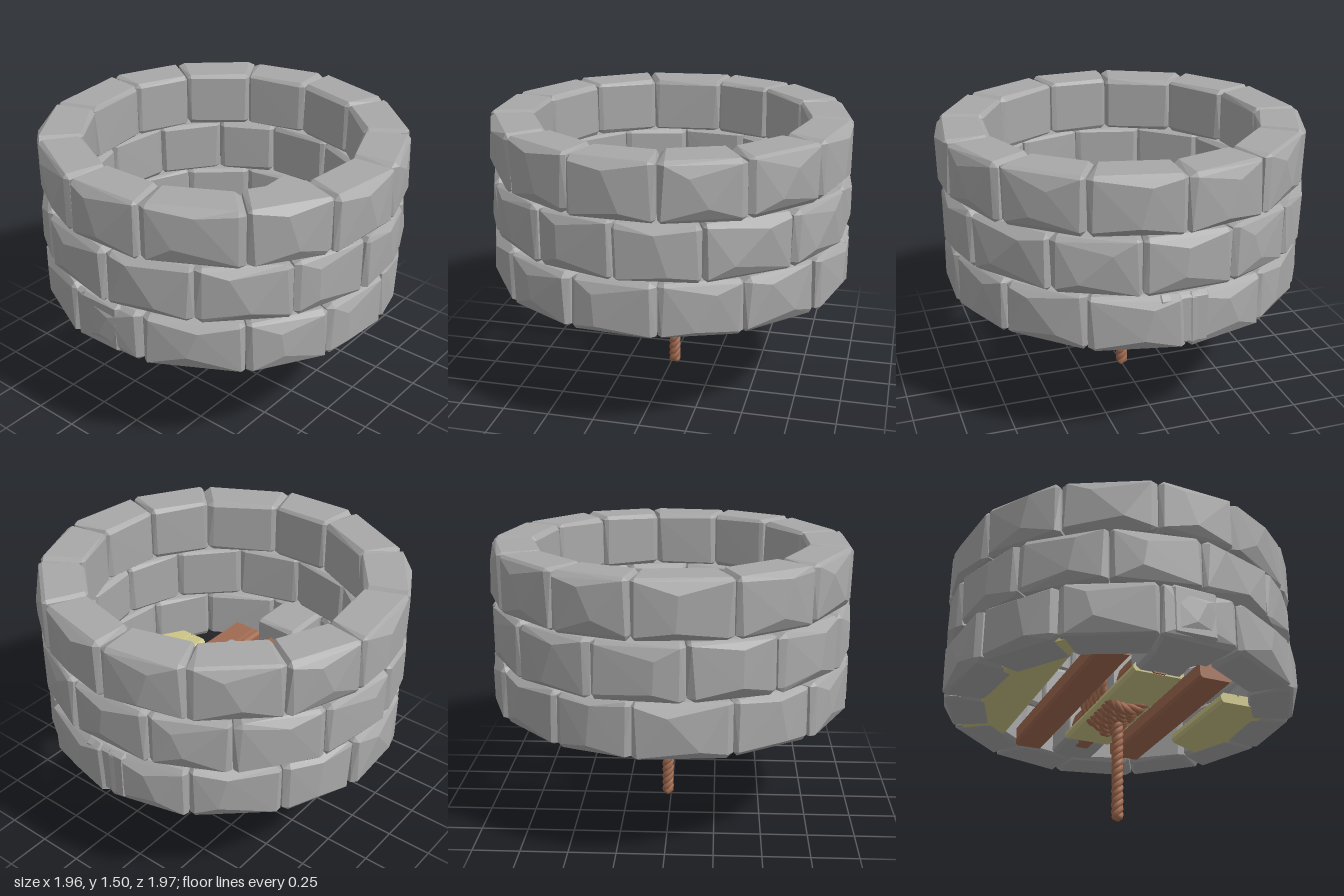
import * as THREE from 'three';
import { ConvexGeometry } from 'three/addons/geometries/ConvexGeometry.js';

const mat = (name, color, flatShading = true) => new THREE.MeshStandardMaterial({ name, color, flatShading });

export function createModel() {
  const stone = mat('stone grey', 0xa8a8a8);
  const brown = mat('brown wood', 0xa06a50);
  const ropeBrown = mat('rope brown', 0xa26b50, false);
  const pale = mat('pale wood', 0xcbc487);
  const model = new THREE.Group();
  const add = (parent, name, geo, material) => {
    const mesh = new THREE.Mesh(geo, material);
    mesh.name = name;
    parent.add(mesh);
    return mesh;
  };

  let seed = 11;
  const rnd = () => {
    seed = (seed * 16807) % 2147483647;
    return seed / 2147483647 - 0.5;
  };

  // Chamfered, slightly irregular block; place maps the cube [-1,1]^3 into the model
  const rock = (place, chamfer, extra = []) => {
    const pts = extra.map(p => place(...p));
    for (const u of [-1, 1]) for (const v of [-1, 1]) for (const w of [-1, 1]) {
      const k = chamfer.map(c => 1 - c * (1 + rnd() * 0.9));
      pts.push(place(u, v * k[1], w * k[2]), place(u * k[0], v, w * k[2]), place(u * k[0], v * k[1], w));
    }
    return new ConvexGeometry(pts);
  };

  // Three courses of stones; joint angles in degrees from the front
  const evenJoints = [9, 35, 62, 91, 118, 146, 171, 201, 229, 259, 285, 316, 342];
  const oddJoints = [-4, 22, 51, 78, 106, 131, 159, 187, 215, 244, 273, 301, 330];
  [[0.61, 0.9, evenJoints], [0.9, 1.2, oddJoints], [1.2, 1.505, evenJoints]].forEach(([y0, y1, joints], row) => {
    const course = new THREE.Group();
    course.name = ['bottomCourse', 'middleCourse', 'topCourse'][row];
    joints.forEach((start, i) => {
      const end = i + 1 < joints.length ? joints[i + 1] : joints[0] + 360;
      const a0 = THREE.MathUtils.degToRad(start + 0.15), a1 = THREE.MathUtils.degToRad(end - 0.15);
      const outer = 0.968 + rnd() * 0.02, top = y1 - 0.003 + rnd() * 0.005;
      const place = (u, v, w) => {
        const a = a0 + (a1 - a0) * (u + 1) / 2;
        const r = 0.73 + (outer - 0.73) * (w + 1) / 2;
        return new THREE.Vector3(Math.sin(a) * r, y0 + (top - y0) * (v + 1) / 2, Math.cos(a) * r);
      };
      const bulge = [[rnd() * 0.8, -0.55 + rnd() * 0.4, 1.09], [rnd() * 0.9, 0.6 + rnd() * 0.4, 1.07]];
      add(course, 'wallStone', rock(place, [0.12, 0.13, 0.17], bulge), stone);
    });
    model.add(course);
  });

  // Blocks holding the log, and the one over its middle
  const block = (name, x0, x1) => {
    const place = (u, v, w) => new THREE.Vector3(
      (x0 + x1) / 2 + u * (x1 - x0) / 2, 0.76 + v * 0.138, -0.005 + w * 0.13);
    add(model, name, rock(place, [0.1, 0.14, 0.14]), stone);
  };
  block('leftLogBlock', 0.46, 0.965);
  block('rightLogBlock', -0.965, -0.465);
  block('middleLogBlock', -0.215, 0.21);

  // Plank with a notch along its top; slant moves each end outwards along z
  const plank = (name, [x0, x1], [z0, z1], [y0, y1], groove, material, slant = [0, 0]) => {
    const b = 0.015;
    const section = new THREE.Shape([
      [z0, y0 + b], [z0, y1 - b], [z0 + b, y1], [groove - 0.008, y1], [groove, y1 - 0.015],
      [groove + 0.008, y1], [z1 - b, y1], [z1, y1 - b], [z1, y0 + b], [z1 - b, y0], [z0 + b, y0],
    ].map(p => new THREE.Vector2(-p[0], p[1])));
    const geo = new THREE.ExtrudeGeometry(section, { depth: x1 - x0, bevelEnabled: false });
    geo.rotateY(Math.PI / 2).translate(x0, 0, 0);
    const p = geo.attributes.position;
    for (let i = 0; i < p.count; i++) {
      const t = (p.getZ(i) - z0) / (z1 - z0);
      p.setX(i, p.getX(i) + t * slant[p.getX(i) > (x0 + x1) / 2 ? 1 : 0]);
    }
    geo.computeVertexNormals();
    add(model, name, geo, material);
  };
  plank('backPalePlank', [-0.52, 0.5], [-0.76, -0.49], [0.613, 0.67], -0.66, pale, [-0.29, 0.22]);
  plank('backBeam', [-0.68, 0.66], [-0.4, -0.22], [0.613, 0.71], -0.36, brown);
  plank('middlePalePlank', [-0.54, 0.44], [-0.15, 0.135], [0.613, 0.66], 0.1, pale);
  plank('frontBeam', [-0.6, 0.6], [0.2, 0.39], [0.613, 0.71], 0.245, brown);
  plank('frontPalePlank', [-0.37, 0.25], [0.445, 0.77], [0.613, 0.67], 0.55, pale, [0, 0.16]);

  // Log that carries the rope
  const log = new THREE.CylinderGeometry(0.1, 0.1, 1.1, 10);
  log.rotateZ(Math.PI / 2);
  add(model, 'log', log, brown).position.set(0, 0.71, -0.005);

  // Rope of three strands twisted round a curve
  const rope = (name, curve, steps, radius, twists) => {
    const group = new THREE.Group();
    group.name = name;
    const frames = curve.computeFrenetFrames(steps, false);
    for (let s = 0; s < 3; s++) {
      const pts = frames.normals.map((n, i) => {
        const a = s * Math.PI * 2 / 3 + i / steps * twists * Math.PI * 2;
        return curve.getPointAt(i / steps)
          .addScaledVector(n, Math.cos(a) * radius * 0.46)
          .addScaledVector(frames.binormals[i], Math.sin(a) * radius * 0.46);
      });
      const path = new THREE.CatmullRomCurve3(pts);
      add(group, 'ropeStrand', new THREE.TubeGeometry(path, steps * 2, radius * 0.56, 7), ropeBrown);
      // Rounded strand ends
      for (const p of [pts[0], pts[steps]]) {
        add(group, 'strandEnd', new THREE.SphereGeometry(radius * 0.56, 8, 6), ropeBrown).position.copy(p);
      }
    }
    model.add(group);
  };

  // Coils round the log
  const turns = 6.5, coil = [];
  for (let i = 0; i <= turns * 16; i++) {
    const a = i / 16 * Math.PI * 2;
    coil.push(new THREE.Vector3(-0.165 + 0.36 * i / (turns * 16), 0.705 + Math.cos(a) * 0.122, -0.012 + Math.sin(a) * 0.122));
  }
  rope('ropeCoil', new THREE.CatmullRomCurve3(coil), 240, 0.033, 34);

  // Hanging end
  rope('hangingRope', new THREE.LineCurve3(new THREE.Vector3(0.018, 0.6, 0), new THREE.Vector3(0.018, 0.02, 0)), 60, 0.033, 5);

  return model;
}
